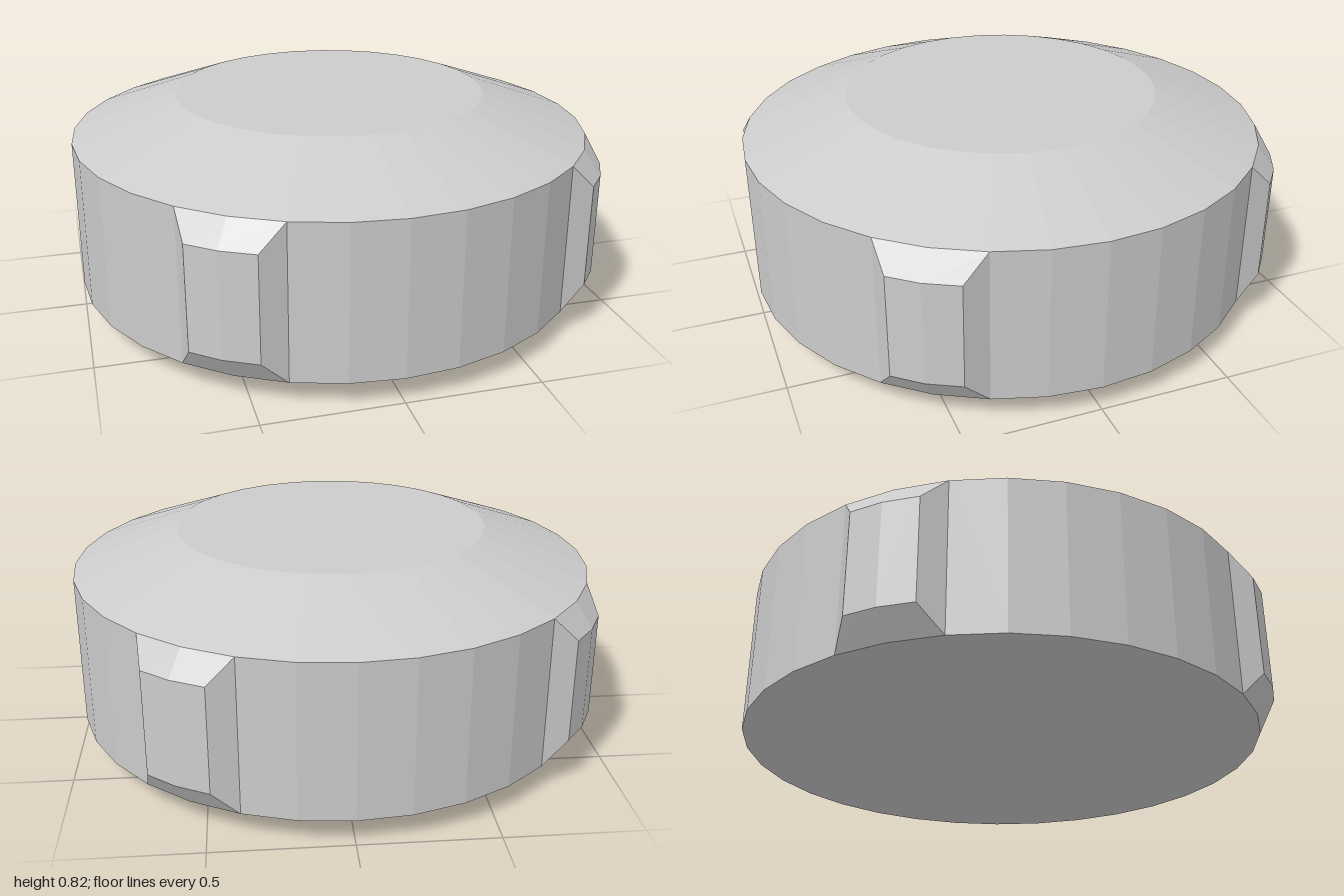
import * as THREE from 'three';

const SIDES = 32;
const LOW = 0.095, HIGH = 0.675; // straight band of the rim

// Splits shared corners so every face has its own flat normal
function faceted(geometry) {
  const flat = geometry.index ? geometry.toNonIndexed() : geometry;
  flat.computeVertexNormals();
  return flat;
}

// Grip lug: follows two facets of the rim, with bevelled top, bottom and ends
function lugGeometry() {
  const rim = [0, 1, 2].map((i) => {
    const a = -Math.PI / 4 + (i * 2 * Math.PI) / SIDES;
    return [Math.sin(a), Math.cos(a)];
  });
  const outer = [[-0.695, 0.803], [-0.598, 0.883], [-0.48, 0.945]];
  const row = (line, y) => line.map(([x, z]) => [x, y, z]);
  const rows = [row(rim, LOW), row(outer, 0.19), row(outer, 0.583), row(rim, HIGH)];

  const positions = [];
  const quad = (a, b, c, d) => positions.push(...a, ...b, ...c, ...a, ...c, ...d);
  for (let r = 0; r < 3; r++) {
    for (let i = 0; i < 2; i++) {
      quad(rows[r][i], rows[r][i + 1], rows[r + 1][i + 1], rows[r + 1][i]);
    }
  }
  quad(rows[0][0], rows[1][0], rows[2][0], rows[3][0]);
  quad(rows[3][2], rows[2][2], rows[1][2], rows[0][2]);

  const geometry = new THREE.BufferGeometry();
  geometry.setAttribute('position', new THREE.Float32BufferAttribute(positions, 3));
  return faceted(geometry);
}

export function createModel() {
  const model = new THREE.Group();
  model.name = 'grippedDisc';
  const material = new THREE.MeshStandardMaterial({ color: 0xcccccc, flatShading: true });

  // Disc body: shallow underside, straight rim, sloped shoulder, flat top
  const profile = [[0, 0], [0.39, 0.005], [1, LOW], [1, HIGH], [0.6, 0.82], [0, 0.82]]
    .map(([r, y]) => new THREE.Vector2(r, y));
  const body = new THREE.Mesh(faceted(new THREE.LatheGeometry(profile, SIDES)), material);
  body.name = 'body';
  model.add(body);

  // Four grip lugs, a quarter turn apart
  const geometry = lugGeometry();
  for (let i = 0; i < 4; i++) {
    const lug = new THREE.Mesh(geometry, material);
    lug.name = `gripLug${i + 1}`;
    lug.rotation.y = (i * Math.PI) / 2;
    model.add(lug);
  }
  return model;
}
